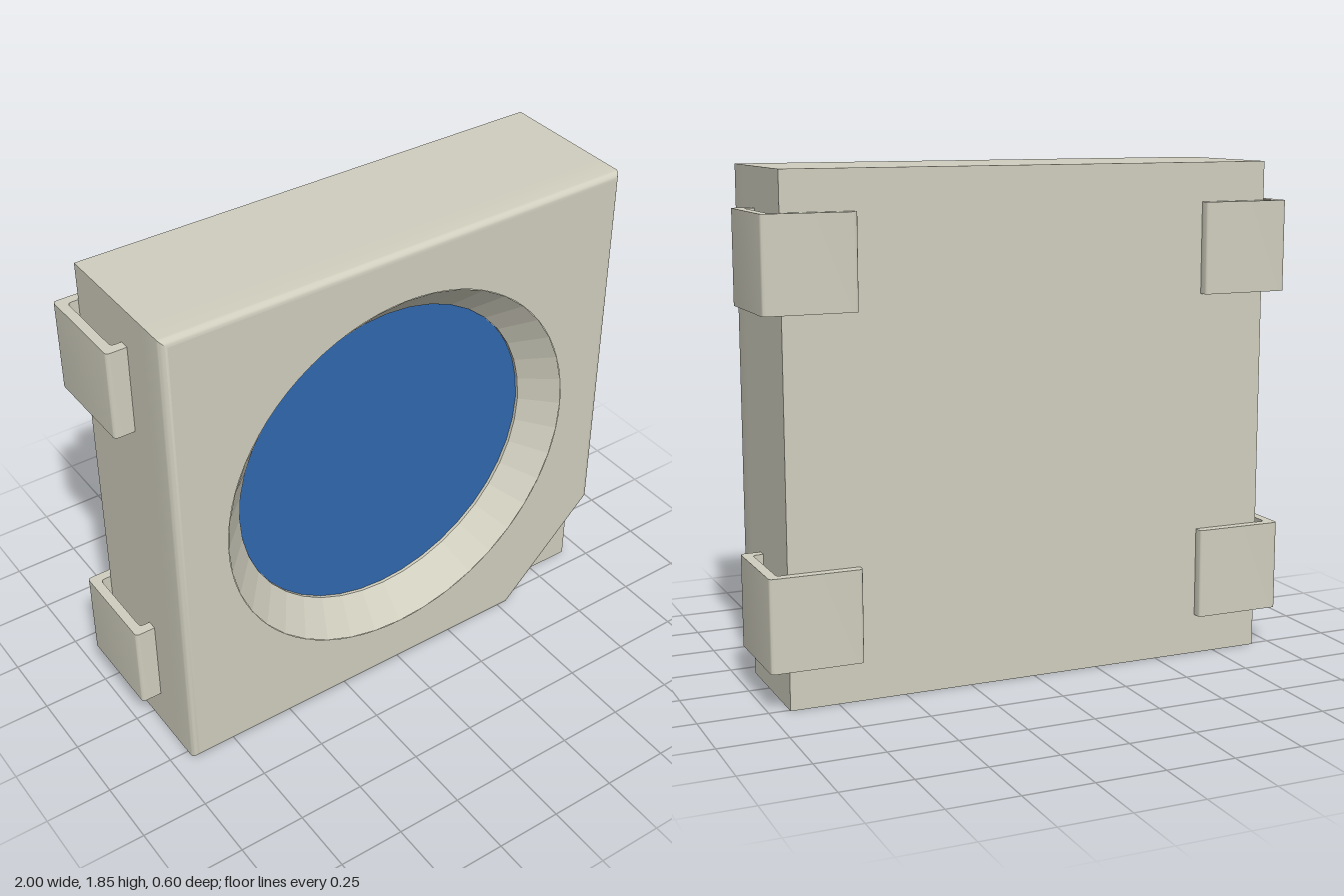
import * as THREE from 'three';
import { toCreasedNormals } from 'three/addons/utils/BufferGeometryUtils.js';

const HALF = 0.925, HEIGHT = 1.85, CY = 0.928;
const FRONT = 0.298, STEP = 0.185, FLOOR = 0.17, BACK = -0.26;
const FILLET = 0.025, R_OUT = 0.73, R_IN = 0.617, SIDES = 40;

// Front cover outline with one cut corner, shrunk evenly by d
function coverOutline(d) {
  const a = HALF - d, cut = 0.54 - d * Math.SQRT2;
  return [[-a, d], [cut + d, d], [a, a - cut], [a, HEIGHT - d], [-a, HEIGHT - d]]
    .map(([x, y]) => new THREE.Vector2(x, y));
}

function circleHole(radius) {
  return new THREE.Path().absarc(0, CY, radius, 0, Math.PI * 2, true);
}

// Side wall of the cover, rolling over into the rounded front edge
function coverWall() {
  const rings = [{ d: 0, z: STEP }];
  for (let i = 0; i <= 5; i++) {
    const t = (i / 5) * Math.PI / 2;
    rings.push({ d: FILLET * (1 - Math.cos(t)), z: FRONT - FILLET + FILLET * Math.sin(t) });
  }
  const loops = rings.map(({ d, z }) => coverOutline(d).map(p => [p.x, p.y, z]));
  const pos = [];
  for (let r = 0; r < loops.length - 1; r++) {
    for (let i = 0; i < 5; i++) {
      const j = (i + 1) % 5;
      const a = loops[r][i], b = loops[r][j], c = loops[r + 1][j], e = loops[r + 1][i];
      pos.push(...a, ...b, ...c, ...a, ...c, ...e);
    }
  }
  const g = new THREE.BufferGeometry();
  g.setAttribute('position', new THREE.Float32BufferAttribute(pos, 3));
  return toCreasedNormals(g, 0.6);
}

// C-shaped bent metal strip, drawn in plan and extruded upward
function leadGeometry() {
  const s = new THREE.Shape();
  const r = 0.015, t = 0.036, x0 = 0.92, x1 = 1, tail = 0.665, top = -0.07, bottom = 0.298;
  s.moveTo(x0, top);
  s.lineTo(x1 - r, top);
  s.quadraticCurveTo(x1, top, x1, top + r);
  s.lineTo(x1, bottom - r);
  s.quadraticCurveTo(x1, bottom, x1 - r, bottom);
  s.lineTo(tail + r, bottom);
  s.quadraticCurveTo(tail, bottom, tail, bottom - r);
  s.lineTo(tail, bottom - t);
  s.lineTo(x1 - t - r, bottom - t);
  s.quadraticCurveTo(x1 - t, bottom - t, x1 - t, bottom - t - r);
  s.lineTo(x1 - t, top + t + r);
  s.quadraticCurveTo(x1 - t, top + t, x1 - t - r, top + t);
  s.lineTo(x0, top + t);
  s.closePath();
  const h = 0.335;
  const g = new THREE.ExtrudeGeometry(s, { depth: h, bevelEnabled: false, curveSegments: 4 });
  g.translate(0, 0, -h / 2);
  g.rotateX(-Math.PI / 2);
  return toCreasedNormals(g, 0.6);
}

export function createModel() {
  const model = new THREE.Group();
  const housingMat = new THREE.MeshStandardMaterial({ color: 0xd0cebe });
  housingMat.name = 'warm grey';
  const lensMat = new THREE.MeshStandardMaterial({ color: 0x3068ae });
  lensMat.name = 'blue';

  const add = (name, geometry, material = housingMat) => {
    const mesh = new THREE.Mesh(geometry, material);
    mesh.name = name;
    model.add(mesh);
    return mesh;
  };

  // Solid back block
  const block = new THREE.BoxGeometry(HALF * 2, HEIGHT, FLOOR - BACK);
  block.translate(0, HEIGHT / 2, (FLOOR + BACK) / 2);
  add('backBlock', block);

  // Thin square layer that surrounds the lens and shows at the cut corner
  const square = new THREE.Shape([[-HALF, 0], [HALF, 0], [HALF, HEIGHT], [-HALF, HEIGHT]]
    .map(([x, y]) => new THREE.Vector2(x, y)));
  square.holes.push(circleHole(R_IN));
  const seat = new THREE.ExtrudeGeometry(square,
    { depth: STEP - FLOOR, bevelEnabled: false, curveSegments: SIDES });
  seat.translate(0, 0, FLOOR);
  add('lensSeat', seat);

  // Front cover: rounded wall, face with round opening, faceted reflector cone
  add('coverWall', coverWall());
  const faceShape = new THREE.Shape(coverOutline(FILLET));
  faceShape.holes.push(circleHole(R_OUT));
  const face = new THREE.ShapeGeometry(faceShape, SIDES);
  face.translate(0, 0, FRONT);
  add('coverFace', face);

  const cone = new THREE.LatheGeometry(
    [new THREE.Vector2(R_OUT, FRONT), new THREE.Vector2(R_IN, STEP)], SIDES);
  cone.rotateX(Math.PI / 2);
  cone.translate(0, CY, 0);
  add('reflectorCone', toCreasedNormals(cone, 0.05));

  // Lens disc at the bottom of the cone
  const lens = new THREE.CircleGeometry(R_IN, SIDES);
  lens.translate(0, CY, FLOOR + 0.003);
  add('lens', lens, lensMat);

  // Four bent leads, two on each side
  const lead = leadGeometry();
  for (const [level, y] of [['lower', 0.318], ['upper', 1.54]]) {
    add(level + 'LeftLead', lead).position.y = y;
    const right = add(level + 'RightLead', lead);
    right.position.y = y;
    right.rotation.z = Math.PI;
  }
  return model;
}
